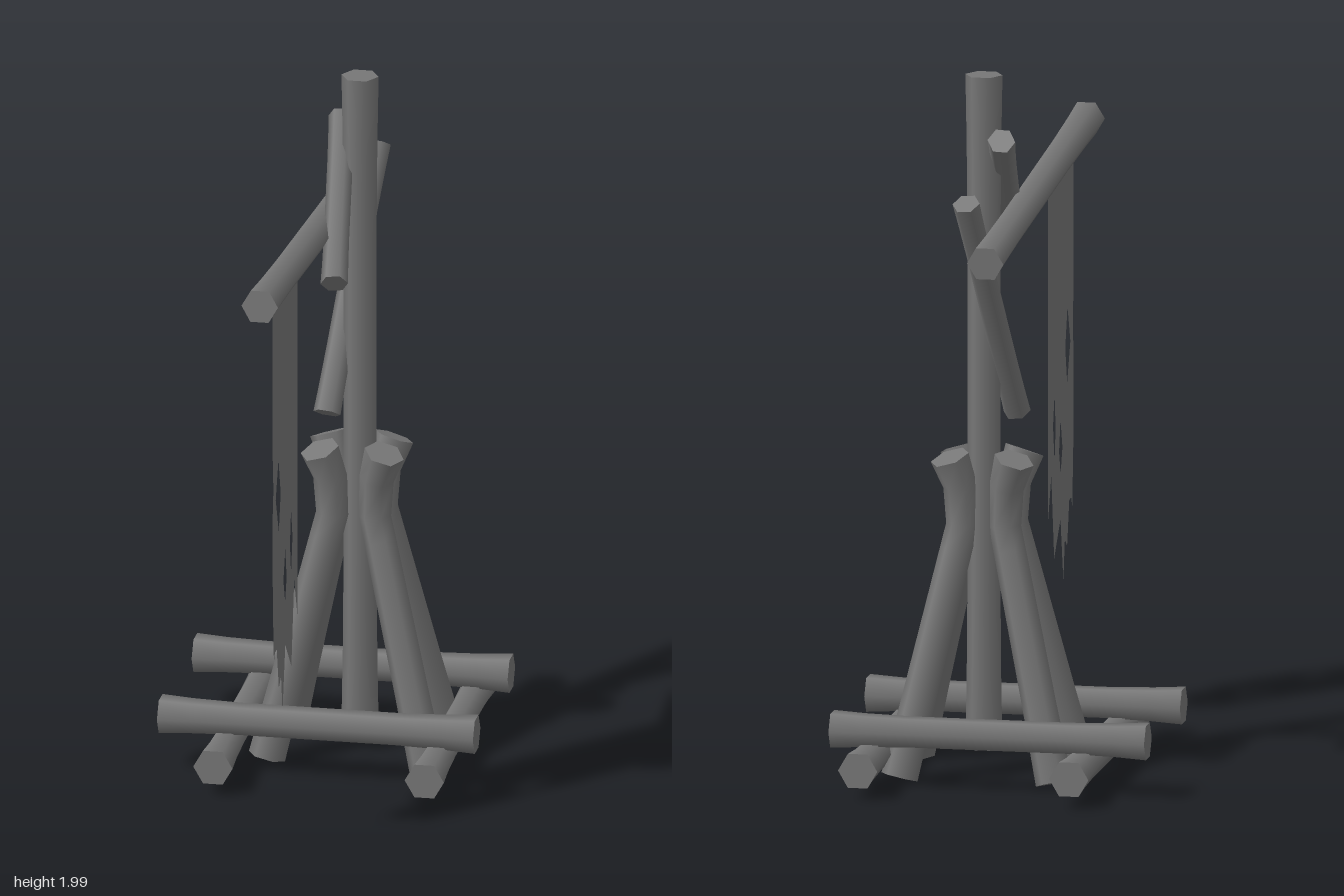
import * as THREE from 'three';

const V = (x, y, z) => new THREE.Vector3(x, y, z);
const X = V(1, 0, 0), Z = V(0, 0, 1);

export function createModel() {
  const model = new THREE.Group();
  const wood = new THREE.MeshStandardMaterial({ color: 0x777777 });
  const cloth = new THREE.MeshStandardMaterial({ color: 0x777777, side: THREE.DoubleSide });

  // Six-sided log swept through points, one radius per point; a ridge runs along ref.
  function log(name, points, radii, ref = X) {
    const n = points.length - 1;
    const geo = new THREE.CylinderGeometry(1, 1, 1, 6, n);
    const pos = geo.attributes.position, nor = geo.attributes.normal;
    const frames = points.map((p, i) => {
      const y = points[Math.min(i + 1, n)].clone().sub(points[Math.max(i - 1, 0)]).normalize();
      const z = ref.clone().addScaledVector(y, -ref.dot(y)).normalize();
      return new THREE.Matrix4().makeBasis(y.clone().cross(z), y, z);
    });
    const v = V(0, 0, 0);
    for (let k = 0; k < pos.count; k++) {
      const i = Math.round((pos.getY(k) + 0.5) * n);
      v.set(pos.getX(k), 0, pos.getZ(k)).multiplyScalar(radii[i]).applyMatrix4(frames[i]).add(points[i]);
      pos.setXYZ(k, v.x, v.y, v.z);
      v.fromBufferAttribute(nor, k).applyMatrix4(frames[i]);
      nor.setXYZ(k, v.x, v.y, v.z);
    }
    const mesh = new THREE.Mesh(geo, wood);
    mesh.name = name;
    model.add(mesh);
  }

  // Straight log, slimmer in the middle than at its ends.
  function straightLog(name, a, b, rEnd, rMid, ref) {
    const points = [0, 0.1, 0.25, 0.75, 0.9, 1].map(t => a.clone().lerp(b, t));
    const rNear = rMid + (rEnd - rMid) * 0.4;
    log(name, points, [rEnd, rNear, rMid, rMid, rNear, rEnd], ref);
  }

  // Base frame: two lower logs, two cross logs on top
  for (const x of [-0.263, 0.339])
    straightLog('baseLog', V(x, 0.087, -0.735), V(x, 0.087, 0.168), 0.056, 0.046, X);
  for (const z of [-0.542, -0.03])
    straightLog('crossLog', V(-0.45, 0.165, z), V(0.45, 0.165, z), 0.056, 0.046, Z);

  // Upright pole
  straightLog('pole', V(0.065, 0.08, -0.304), V(0.065, 2, -0.304), 0.053, 0.047, X);

  // Four legs leaning on the pole, their tops curling outward
  const feet = [[-1, 1, -0.168, -0.138], [1, 1, 0.298, -0.1], [1, -1, 0.273, -0.468], [-1, -1, -0.168, -0.468]];
  for (const [sx, sz, fx, fz] of feet) {
    const foot = V(fx, 0.02, fz);
    const upper = (dx, y, dz) => V(0.06 + sx * dx, y, -0.284 + sz * dz);
    const waist = upper(0.061, 0.72, 0.049);
    log('leg', [foot, foot.clone().lerp(waist, 0.3), foot.clone().lerp(waist, 0.9), waist,
      upper(0.066, 0.83, 0.053), upper(0.092, 0.915, 0.074)],
      [0.053, 0.049, 0.046, 0.046, 0.049, 0.057], X);
  }

  // Banner boom and its two braces
  straightLog('boom', V(-0.021, 1.545, -0.716), V(-0.021, 1.673, 0.73), 0.052, 0.046, X);
  straightLog('upperBrace', V(0.058, 1.503, 0.04), V(-0.008, 1.836, -0.42), 0.039, 0.036, X);
  straightLog('lowerBrace', V(-0.011, 1.025, -0.21), V(0.055, 1.692, -0.609), 0.039, 0.036, X);

  // Torn banner, drawn as (z, y) and turned into the boom's plane
  const path = pts => pts.map(([z, y]) => new THREE.Vector2(-z, y));
  const shape = new THREE.Shape(path([
    [0.66, 1.65], [0.66, 1.22], [0.647, 1.1], [0.66, 1.01], [0.656, 0.77], [0.64, 0.583],
    [0.624, 0.61], [0.597, 0.607], [0.567, 0.483], [0.534, 0.507], [0.513, 0.393], [0.472, 0.578],
    [0.382, 0.483], [0.341, 0.726], [0.294, 0.604], [0.294, 1.62]]));
  const holes = [
    [[0.572, 1.165], [0.54, 1.053], [0.567, 0.948], [0.613, 1.058]],
    [[0.472, 0.863], [0.452, 0.773], [0.474, 0.708], [0.5, 0.778]],
    [[0.387, 0.953], [0.366, 0.863], [0.387, 0.758], [0.403, 0.853]]];
  for (const h of holes) shape.holes.push(new THREE.Path(path(h)));
  const banner = new THREE.Mesh(new THREE.ShapeGeometry(shape), cloth);
  banner.name = 'banner';
  banner.rotation.y = Math.PI / 2;
  banner.position.x = 0.002;
  model.add(banner);

  return model;
}
